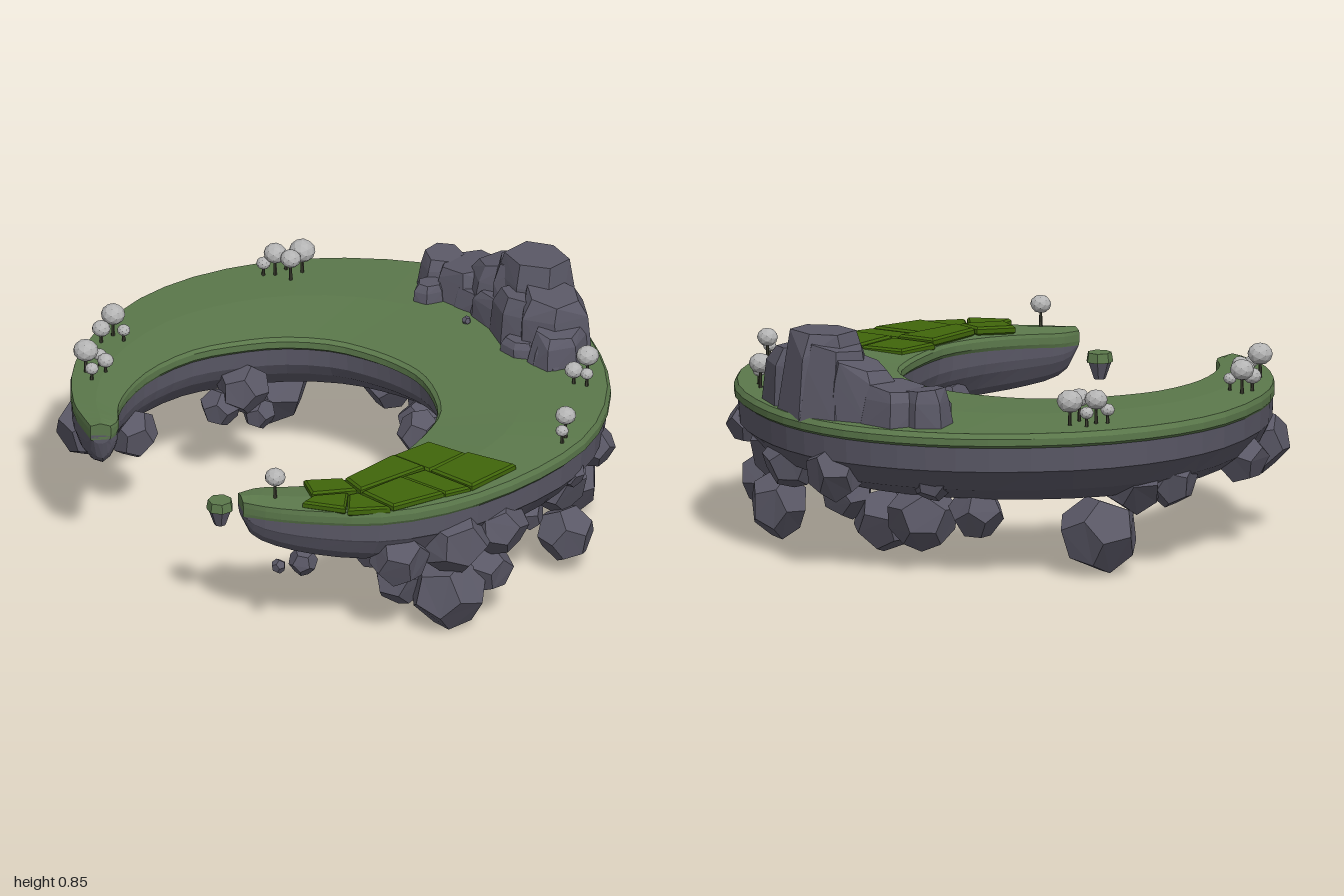
import * as THREE from 'three';
import { ConvexGeometry } from 'three/addons/geometries/ConvexGeometry.js';

const material = (name, color) => {
  const m = new THREE.MeshStandardMaterial({ color, flatShading: true });
  m.name = name;
  return m;
};

// Small seeded generator for the irregular stone shapes
let seed = 7;
const rand = () => {
  seed = (seed * 16807) % 2147483647;
  return seed / 2147483647;
};
const jitter = (a) => 1 + (rand() - 0.5) * 2 * a;

// Paired outer and inner shore points [xo, zo, xi, zi], left tip round the back to the right tip
const SHORE = [
  [-.475, .885, -.42, .835], [-.55, .845, -.425, .79], [-.64, .79, -.5, .7], [-.8, .62, -.56, .57],
  [-.93, .38, -.595, .4], [-1, .02, -.575, .2], [-.95, -.28, -.5, .05], [-.78, -.58, -.4, -.08],
  [-.5, -.82, -.25, -.18], [-.25, -.93, -.1, -.215], [0, -.965, .03, -.22], [.25, -.92, .15, -.2],
  [.5, -.79, .28, -.13], [.75, -.57, .4, -.02], [.92, -.27, .46, .12], [.96, .05, .5, .28],
  [.91, .4, .52, .45], [.77, .68, .47, .62], [.58, .84, .38, .75], [.43, .93, .29, .84], [.33, .965, .265, .92],
];
const shoreCurve = (k) => new THREE.CatmullRomCurve3(SHORE.map((p) => new THREE.Vector3(p[k], 0, p[k + 1])));
const outer = shoreCurve(0), inner = shoreCurve(2);

// Sweep a closed section of [across, y] points along the crescent, with capped ends
function sweep(section, yAt, steps = 48) {
  const pos = [], index = [], n = section.length;
  for (let i = 0; i <= steps; i++) {
    const u = i / steps, a = outer.getPoint(u), b = inner.getPoint(u);
    for (const [t, y] of section) {
      const p = a.clone().lerp(b, t);
      pos.push(p.x, yAt(y, u), p.z);
    }
  }
  for (let i = 0; i < steps; i++) {
    for (let j = 0; j < n; j++) {
      const a = i * n + j, b = i * n + (j + 1) % n;
      index.push(a, b, a + n, b, b + n, a + n);
    }
  }
  const last = steps * n;
  for (let j = 1; j < n - 1; j++) {
    index.push(0, j + 1, j, last, last + j, last + j + 1);
  }
  const g = new THREE.BufferGeometry();
  g.setAttribute('position', new THREE.Float32BufferAttribute(pos, 3));
  g.setIndex(index);
  g.computeVertexNormals();
  return g;
}

// Blocky chunk of stone with broad facets, narrower towards its foot
function boulderGeometry(r) {
  const g = new THREE.DodecahedronGeometry(r * 1.08);
  g.rotateX(rand() * 6).rotateZ(rand() * 6);
  g.scale(jitter(.1), jitter(.08), jitter(.1)).rotateY(rand() * 6);
  const p = g.attributes.position;
  for (let i = 0; i < p.count; i++) {
    const w = 1 + 0.2 * Math.min(0, p.getY(i) / r);
    p.setX(i, p.getX(i) * w);
    p.setZ(i, p.getZ(i) * w);
  }
  g.computeVertexNormals();
  return g;
}

// Upright crag: three irregular rings, the top one smaller and tilted
function cragGeometry(w, d, h, taper, tilt) {
  const pts = [], n = 6, turn = rand() * 6;
  for (const [y, s] of [[0, 1.05], [0.72, 0.55 + taper / 2], [1, taper]]) {
    for (let i = 0; i < n; i++) {
      const a = (i / n) * Math.PI * 2 + turn, c = Math.cos(a);
      const lift = y === 1 ? tilt * c * h : 0;
      pts.push(new THREE.Vector3(c * w * s * jitter(0.12), y * h + lift, Math.sin(a) * d * s * jitter(0.12)));
    }
  }
  return new ConvexGeometry(pts);
}

export function createModel() {
  seed = 7;
  const model = new THREE.Group();
  model.name = 'floatingIsland';
  const grass = material('grass green', 0x5b784b);
  const field = material('field green', 0x40660a);
  const rock = material('slate rock', 0x5a5866);
  const leaf = material('pale foliage', 0xb4b4b4);
  const bark = material('dark bark', 0x3e3f32);
  const add = (parent, name, geometry, mat, x = 0, y = 0, z = 0) => {
    const m = new THREE.Mesh(geometry, mat);
    m.name = name;
    m.position.set(x, y, z);
    parent.add(m);
    return m;
  };
  const group = (name) => {
    const g = new THREE.Group();
    g.name = name;
    model.add(g);
    return g;
  };

  // Crescent: turf slab over a rock keel that thins out at the tips
  add(model, 'turf', sweep([[.03, .51], [0, .525], [0, .55], [.02, .568], [.5, .578], [.98, .568],
    [1, .555], [1, .53], [.97, .515]], (y) => y), grass);
  const depth = (u) => Math.min(1, 0.13 + 0.93 * Math.sin(Math.PI * u) ** 0.45);
  add(model, 'rockKeel', sweep([[.975, .53], [.965, .45], [.92, .4], [.78, .32], [.58, .27], [.36, .28],
    [.16, .34], [.05, .415], [.03, .425], [.02, .53]], (y, u) => 0.53 - (0.53 - y) * depth(u)), rock);

  // Boulders hanging below [x, y, z, radius]
  const boulders = group('hangingBoulders');
  [
    [-.87, .34, .3, .1], [-.76, .34, .57, .11], [-.61, .34, .5, .09], [-.74, .33, -.2, .12],
    [-.72, .15, -.38, .135], [-.84, .32, -.1, .1], [-.5, .37, .02, .09], [-.46, .27, -.02, .06],
    [-.54, .31, .1, .07], [-.32, .22, -.58, .1], [-.13, .19, -.65, .12], [0, .24, -.4, .09],
    [.13, .13, -.5, .12], [.12, .3, -.24, .08], [.27, .22, -.55, .1], [.4, .25, -.3, .09],
    [.1, .37, -.87, .1], [-.25, .36, -.76, .08], [.42, .34, -.68, .1], [.57, .14, -.55, .12],
    [.62, .33, -.46, .12], [.78, .4, -.44, .08], [.84, .15, -.22, .1], [.76, .33, -.26, .12],
    [.88, .42, -.2, .05], [.8, .28, -.06, .06], [.72, .27, .08, .06], [.9, .37, .22, .1],
    [.84, .37, .4, .125], [.75, .34, .59, .1], [.8, .14, .38, .135], [.85, .2, .24, .1],
    [.62, .15, .43, .1], [.62, .28, .3, .1], [.6, .33, .55, .09],
  ].forEach(([x, y, z, r]) => add(boulders, 'boulder', boulderGeometry(r), rock, x, y, z));

  // Loose fragments drifting off the right tip
  const fragments = group('driftingFragments');
  add(fragments, 'fragment', boulderGeometry(.055), rock, .42, .27, .74);
  add(fragments, 'fragment', boulderGeometry(.028), rock, .39, .28, .84);
  add(fragments, 'isletTurf', new THREE.CylinderGeometry(.044, .05, .035, 7), grass, .17, .485, .91);
  add(fragments, 'isletRock', new THREE.CylinderGeometry(.045, .022, .065, 7), rock, .17, .437, .91);

  // Stepped mountain at the back [x, z, halfWidth, halfDepth, topY, taper, tilt]
  const mountain = group('mountain');
  [
    [-.24, -.78, .09, .1, .7, .75, -.05], [-.2, -.66, .055, .065, .64, .7, 0], [-.11, -.79, .14, .13, .7, .78, .08],
    [.05, -.79, .15, .14, .77, .65, .12], [.16, -.78, .14, .15, .82, .7, .06], [.23, -.76, .16, .15, .86, .72, 0],
    [.13, -.69, .14, .07, .69, .7, .05], [.26, -.65, .14, .1, .76, .68, 0], [.37, -.69, .14, .14, .78, .72, -.05],
    [.45, -.62, .1, .12, .69, .72, -.08], [.32, -.56, .08, .06, .63, .7, 0], [.45, -.57, .08, .06, .65, .65, 0],
    [-.04, -.71, .1, .05, .65, .7, 0],
  ].forEach(([x, z, w, d, top, taper, tilt]) =>
    add(mountain, 'crag', cragGeometry(w, d, top - .55, taper, tilt), rock, x, .55, z));
  add(mountain, 'pebble', boulderGeometry(.018), rock, .03, .585, -.6);

  // Patchwork of raised fields, each four corners as x, z pairs
  const fields = group('fields');
  [
    [.545, .195, .7, .175, .69, .355, .52, .36], [.712, .17, .9, .13, .89, .35, .705, .355],
    [.53, .372, .67, .367, .615, .645, .52, .615], [.68, .367, .885, .362, .85, .45, .655, .46],
    [.655, .472, .845, .462, .78, .655, .628, .645], [.512, .63, .603, .66, .505, .785, .42, .73],
    [.615, .66, .77, .668, .672, .778, .6, .695], [.592, .695, .66, .785, .52, .85, .515, .79],
  ].forEach((c, i) => {
    const shape = new THREE.Shape();
    for (let k = 0; k < 8; k += 2) shape[k ? 'lineTo' : 'moveTo'](c[k], -c[k + 1]);
    const g = new THREE.ExtrudeGeometry(shape, {
      depth: .016, bevelEnabled: true, bevelSegments: 1, bevelThickness: .008, bevelSize: .008, bevelOffset: -.004,
    });
    add(fields, 'field', g.rotateX(-Math.PI / 2), field, 0, .565 + (i % 3) * .006, 0);
  });

  // Trees with round crowns [x, z, crownRadius]
  const trees = group('trees');
  [
    [-.68, -.51, .048], [-.74, -.43, .042], [-.67, -.435, .038], [-.77, -.4, .026], [-.74, -.49, .026],
    [-.87, .31, .044], [-.87, .375, .034], [-.81, .32, .024], [-.76, .585, .046], [-.7, .545, .03],
    [-.7, .62, .025], [-.75, .52, .025], [.63, -.58, .042], [.625, -.51, .034], [.67, -.53, .024],
    [.875, -.18, .038], [.893, -.14, .024], [.4, .87, .038],
  ].forEach(([x, z, r]) => {
    const y = r > .036 ? .66 : .6 + r * .8;
    const crown = add(trees, 'crown', new THREE.IcosahedronGeometry(r, 1), leaf, x, y, z);
    crown.scale.y = .88;
    add(trees, 'trunk', new THREE.CylinderGeometry(.004, .007, y - .57, 6), bark, x, (y + .57) / 2, z);
  });
  return model;
}
